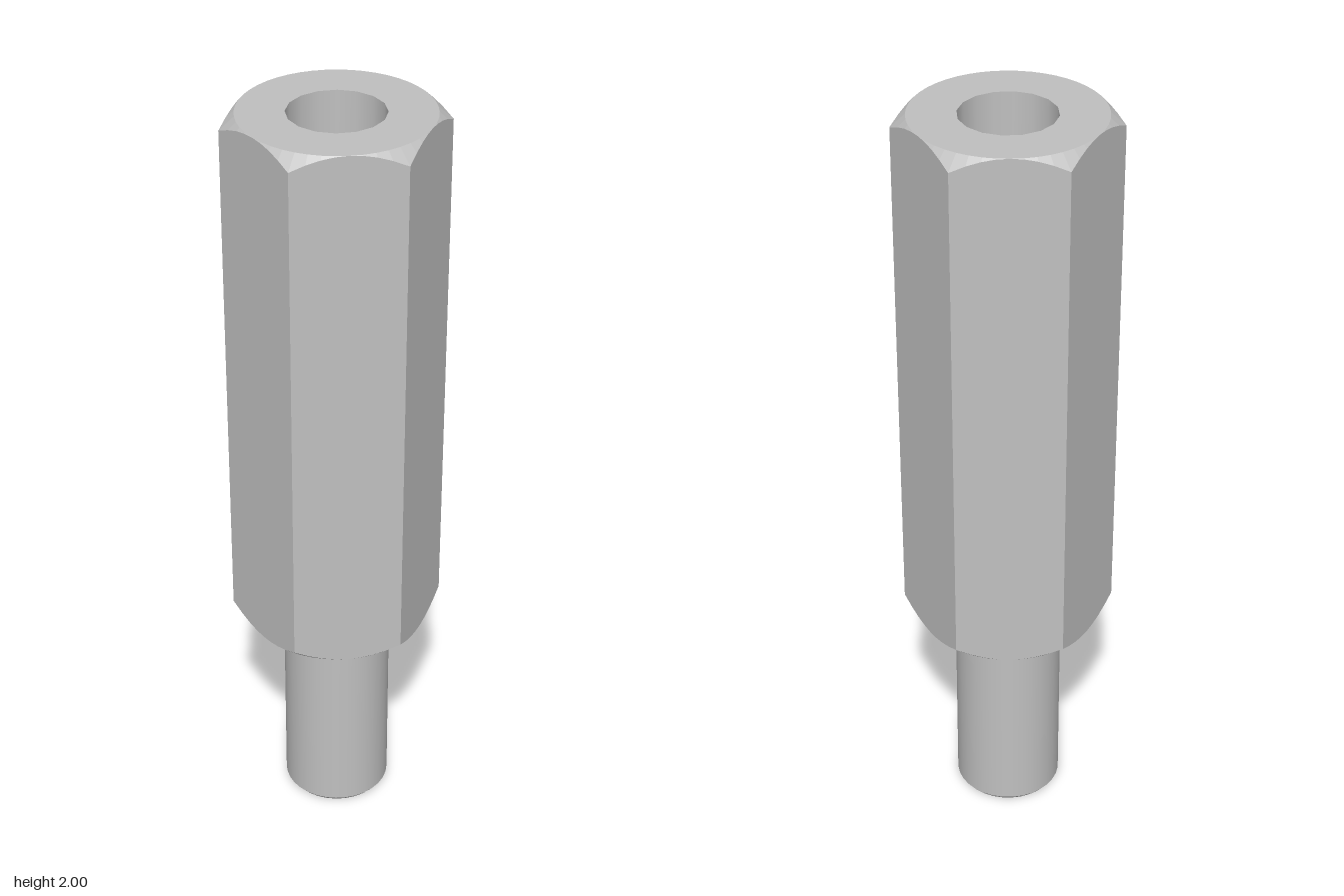
import * as THREE from 'three';

const TOP = 2, BASE = 0.577;          // ends of the hexagonal body
const R = 0.2743;                     // hexagon corner radius
const A = R * Math.cos(Math.PI / 6);  // distance from axis to flats
const TURN = 0.128;                   // rotation of the hexagon about y
const CHAMFER = 0.034;                // height lost at each corner
const SIDE_STEPS = 8, N = SIDE_STEPS * 6;
const HOLE = 0.12, STUD = 0.14;

// Points round the hexagon: direction, plus the outline radius there
function outline() {
  const pts = [];
  for (let i = 0; i < N; i++) {
    const local = ((i % SIDE_STEPS) / SIDE_STEPS) * (Math.PI / 3) - Math.PI / 6;
    const t = TURN + (i / N) * Math.PI * 2;
    pts.push({ c: Math.cos(t), s: Math.sin(t), r: A / Math.cos(local) });
  }
  return pts;
}

// Flat sides with conical chamfers at both ends
function hexSides(pts) {
  const drop = (p) => ((p.r - A) / (R - A)) * CHAMFER;
  const at = (p, r, y) => [p.c * r, y, p.s * r];
  const rings = [
    pts.map((p) => at(p, A, TOP)),
    pts.map((p) => at(p, p.r, TOP - drop(p))),
    pts.map((p) => at(p, p.r, BASE + drop(p))),
    pts.map((p) => at(p, A, BASE)),
  ];
  const pos = [];
  for (let k = 0; k < rings.length - 1; k++) {
    for (let i = 0; i < N; i++) {
      const j = (i + 1) % N;
      const [a, b, c, d] = [rings[k][i], rings[k][j], rings[k + 1][j], rings[k + 1][i]];
      pos.push(...a, ...b, ...d, ...b, ...c, ...d);
    }
  }
  const g = new THREE.BufferGeometry();
  g.setAttribute('position', new THREE.Float32BufferAttribute(pos, 3));
  g.computeVertexNormals();
  return g;
}

// Round end face, up or down, with an optional 16-sided opening
function endFace(pts, up, holeRadius) {
  const shape = new THREE.Shape(pts.map((p) => new THREE.Vector2(p.c * A, (up ? -1 : 1) * p.s * A)));
  if (holeRadius) {
    const rim = [];
    for (let i = 0; i < 16; i++) {
      const t = (i / 16) * Math.PI * 2;
      rim.push(new THREE.Vector2(Math.cos(t) * holeRadius, Math.sin(t) * holeRadius));
    }
    shape.holes.push(new THREE.Path(rim));
  }
  return new THREE.ShapeGeometry(shape)
    .rotateX(up ? -Math.PI / 2 : Math.PI / 2)
    .translate(0, up ? TOP : BASE, 0);
}

// One straight band of revolution between two [radius, height] points
function band(from, to, segments) {
  return new THREE.LatheGeometry([new THREE.Vector2(...from), new THREE.Vector2(...to)], segments);
}

export function createModel() {
  const group = new THREE.Group();
  const metal = new THREE.MeshStandardMaterial({ color: 0xc0c0c0 });
  metal.name = 'grey metal';
  const add = (name, geometry) => {
    const mesh = new THREE.Mesh(geometry, metal);
    mesh.name = name;
    group.add(mesh);
  };
  const pts = outline();

  // Hexagonal body
  add('hexBody', hexSides(pts));
  add('bodyTopFace', endFace(pts, true, HOLE));
  add('bodyBottomFace', endFace(pts, false));

  // Blind hole with a drill-point bottom
  const floor = 1.15;
  add('holeWall', band([HOLE, TOP], [HOLE, floor], 16));
  add('holeBottom', band([HOLE, floor], [0, floor - 0.07], 16));

  // Stud with a small chamfer at its tip
  add('studWall', band([STUD, 0.012], [STUD, BASE], 32));
  add('studChamfer', band([STUD - 0.01, 0], [STUD, 0.012], 32));
  add('studEnd', band([0, 0], [STUD - 0.01, 0], 32));

  return group;
}
